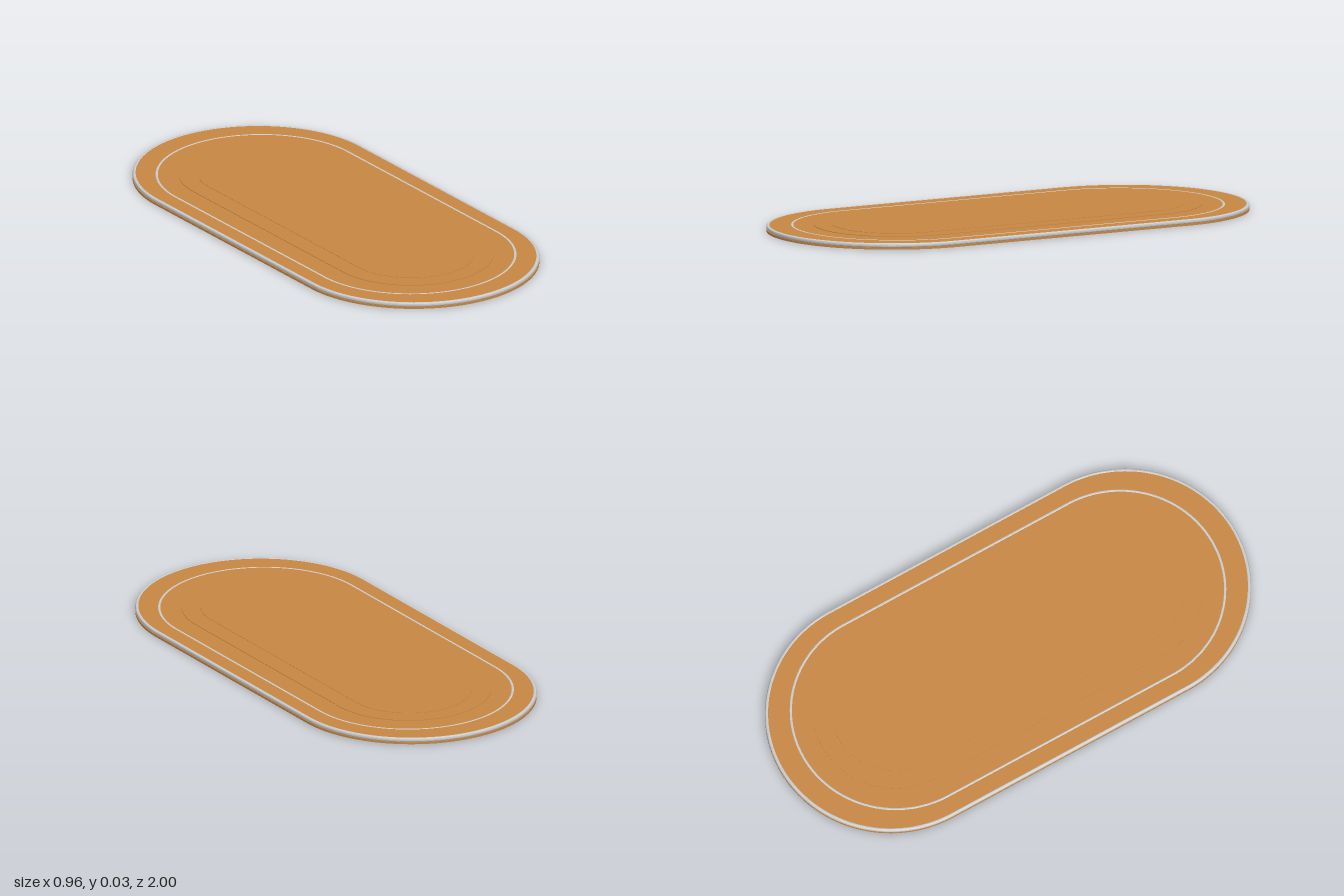
import * as THREE from 'three';
import { toCreasedNormals } from 'three/addons/utils/BufferGeometryUtils.js';

const SEGMENTS = 128;
const CORE = 1e-5; // innermost radius, so the two halves can be told apart

// Turns a profile of [radius, y] and pulls the halves apart along z into a stadium
function stadium(profile, straight) {
  const points = profile.map(([r, y]) => new THREE.Vector2(r, y));
  const halfStep = Math.PI / SEGMENTS;
  const geometry = new THREE.LatheGeometry(points, SEGMENTS, halfStep);
  const pos = geometry.attributes.position;
  for (let i = 0; i < pos.count; i++) {
    const z = pos.getZ(i);
    pos.setZ(i, z + Math.sign(z) * straight);
  }
  return toCreasedNormals(geometry, 0.7);
}

const slab = (r, y0, y1, straight) =>
  stadium([[CORE, y0], [r, y0], [r, y1], [CORE, y1]], straight);

// Closed band with an oval cross-section
function band(r, y, halfWidth, halfHeight, straight) {
  const profile = [];
  for (let i = 0; i <= 12; i++) {
    const a = (i / 12) * Math.PI * 2;
    profile.push([r + halfWidth * Math.cos(a), y + halfHeight * Math.sin(a)]);
  }
  return stadium(profile, straight);
}

export function createModel() {
  const group = new THREE.Group();
  const tan = new THREE.MeshStandardMaterial({ color: 0xc68642 });
  const grey = new THREE.MeshStandardMaterial({ color: 0xcccccc });

  function add(name, geometry, material) {
    const mesh = new THREE.Mesh(geometry, material);
    mesh.name = name;
    group.add(mesh);
  }

  // Flat body: wide foot, then the top field inside the rim
  add('base', slab(0.481, 0, 0.008, 0.519), tan);
  add('field', slab(0.47, 0.008, 0.0225, 0.519), tan);

  // Grey edging and inlaid line
  add('rim', band(0.4735, 0.0155, 0.008, 0.0085, 0.519), grey);
  add('inlay', band(0.402, 0.0215, 0.005, 0.002, 0.496), grey);

  // Two shallow raised panels
  add('outerPanel', slab(0.317, 0.02, 0.0245, 0.498), tan);
  add('innerPanel', slab(0.243, 0.02, 0.0258, 0.501), tan);

  return group;
}
